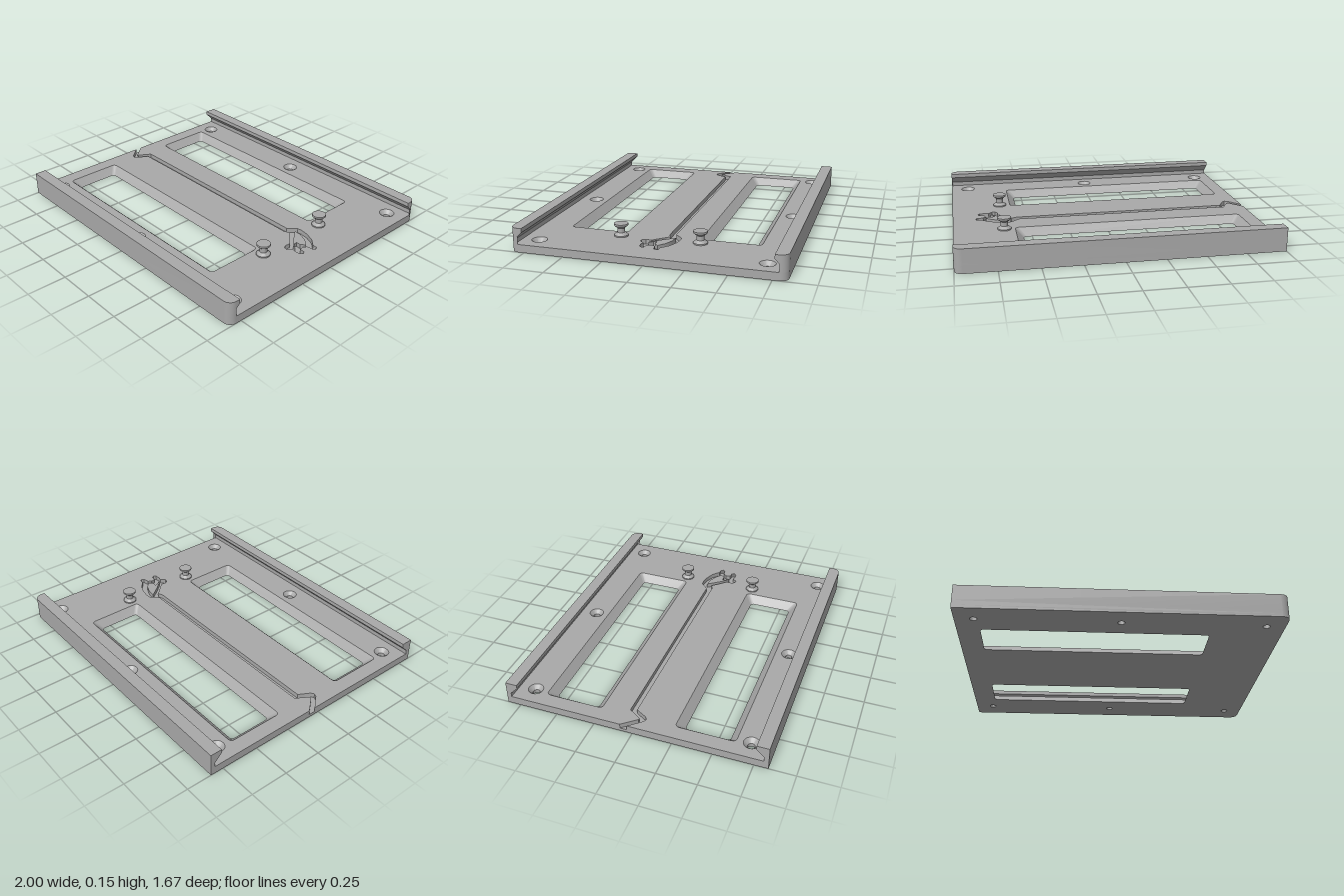
import * as THREE from 'three';
import { mergeGeometries, toCreasedNormals } from 'three/addons/utils/BufferGeometryUtils.js';

const D = 0.837, R = 0.05;          // half depth, corner radius
const TOP = 0.05, FLOOR = 0.02;     // plate top, groove floor
const V = (x, z) => new THREE.Vector2(x, z);

// Geometry from a list of triangles' corners
function fromTriangles(p) {
  const g = new THREE.BufferGeometry();
  g.setAttribute('position', new THREE.Float32BufferAttribute(p, 3));
  return g;
}

// Flat face at height y from an (x, z) loop with holes
function cap(loop, holes, y, up) {
  const shape = new THREE.Shape(loop);
  shape.holes = holes.map(h => new THREE.Path(h));
  const g = new THREE.ShapeGeometry(shape).toNonIndexed().rotateX(Math.PI / 2).translate(0, y, 0);
  const a = g.attributes.position, p = [];
  for (let i = 0; i < a.count; i += 3)
    for (const k of up ? [0, 2, 1] : [0, 1, 2]) p.push(a.getX(i + k), a.getY(i + k), a.getZ(i + k));
  return fromTriangles(p);
}

// Wall between two matching (x, z) loops, facing out of or into the loop
function wall(low, y0, high, y1, outward) {
  const p = [], flip = (THREE.ShapeUtils.area(low) > 0) !== outward;
  low.forEach((a, i) => {
    const j = (i + 1) % low.length, b = low[j];
    const q = [[a.x, y0, a.y], [high[i].x, y1, high[i].y], [high[j].x, y1, high[j].y], [b.x, y0, b.y]];
    for (const k of flip ? [0, 2, 1, 0, 3, 2] : [0, 1, 2, 0, 2, 3]) p.push(...q[k]);
  });
  return fromTriangles(p);
}

function circle(x, z, r, n = 32) {
  return Array.from({ length: n }, (_, i) => {
    const t = i / n * Math.PI * 2;
    return V(x + r * Math.cos(t), z + r * Math.sin(t));
  });
}

function roundedRect(x0, x1, z0, z1, r) {
  const out = [];
  [[x1 - r, z1 - r], [x0 + r, z1 - r], [x0 + r, z0 + r], [x1 - r, z0 + r]].forEach(([x, z], c) => {
    for (let i = 0; i <= 6; i++) {
      const t = (c + i / 6) * Math.PI / 2;
      out.push(V(x + r * Math.cos(t), z + r * Math.sin(t)));
    }
  });
  return out;
}

// Guide groove: lower edge, around the latch loop, back along the upper edge
const GROOVE = [[-1, -.035], [-.93, .045], [-.908, .055], [-.888, .042], [-.847, -.03], [.578, -.03],
  [.615, -.045], [.645, -.013], [.704, .048], [.7, .085], [.715, .106], [.735, .108], [.76, .078],
  [.785, .086], [.82, .082], [.833, .065], [.825, .05], [.79, .046], [.784, .015], [.8, -.008],
  [.842, -.014], [.852, -.03], [.843, -.045], [.813, -.046], [.765, -.088], [.705, -.112],
  [.65, -.121], [.618, -.118], [.567, -.068], [-.86, -.068], [-.91, .012], [-.925, .01], [-1, -.078]]
  .map(p => V(...p));
const ISLAND = [[.625, -.083], [.68, -.079], [.74, -.053], [.782, -.018], [.755, .008], [.722, .006],
  [.725, .028], [.75, .05], [.735, .052], [.685, -.005]].map(p => V(...p));

function plateGeometry() {
  const outline = [V(-1, -D)];
  for (let i = 0; i <= 8; i++) {
    const t = (i / 8 - 1) * Math.PI / 2;
    outline.push(V(1 - R + R * Math.cos(t), -D + R + R * Math.sin(t)));
  }
  for (let i = 0; i <= 8; i++) {
    const t = i / 8 * Math.PI / 2;
    outline.push(V(1 - R + R * Math.cos(t), D - R + R * Math.sin(t)));
  }
  outline.push(V(-1, D));
  const notched = [...outline, ...GROOVE];
  const parts = [], lowHoles = [], highHoles = [];

  // Windows with sloping sides
  for (const [z0, z1] of [[-.615, -.237], [.237, .615]]) {
    const high = roundedRect(-.905, .605, z0, z1, .025);
    const low = roundedRect(-.855, .555, z0 + .048, z1 - .048, .02);
    parts.push(wall(low, 0, high, TOP, false));
    lowHoles.push(low);
    highHoles.push(high);
  }
  // Countersunk screw holes
  for (const x of [-.883, 0, .883]) for (const z of [-.702, .702]) {
    const low = circle(x, z, .022), high = circle(x, z, .048);
    parts.push(wall(low, 0, low, .024, false), wall(low, .024, high, TOP, false));
    lowHoles.push(low);
    highHoles.push(high);
  }
  parts.push(
    cap(outline, lowHoles, 0, false),
    cap(notched, highHoles, TOP, true),
    cap(GROOVE, [ISLAND], FLOOR, true),
    cap(ISLAND, [], TOP, true),
    wall(outline, 0, outline, FLOOR, true),
    wall(notched, FLOOR, notched, TOP, true),
    wall(ISLAND, FLOOR, ISLAND, TOP, true));
  return toCreasedNormals(mergeGeometries(parts), 0.5);
}

// Hooked side rail swept along x, its outer face following the rounded corner
function railGeometry(side) {
  const stations = [-1];
  for (let i = 0; i <= 8; i++) stations.push(1 - R + R * Math.sin(i / 8 * Math.PI / 2));
  const rings = stations.map(x => {
    const dx = Math.max(0, x - 1 + R);
    const o = D - R + Math.sqrt(Math.max(0, R * R - dx * dx)), n = Math.min(.808, o);
    return [[o, TOP], [o, .152], [.76, .152], [.76, .126], [n, .126 - (n - .76)], [n, TOP]]
      .map(([z, y]) => [x, y, z * side]);
  });
  const p = [], tri = (a, b, c) => p.push(...a, ...(side > 0 ? b : c), ...(side > 0 ? c : b));
  for (let s = 0; s + 1 < rings.length; s++) {
    for (let i = 0; i < 6; i++) {
      const A = rings[s], B = rings[s + 1], j = (i + 1) % 6;
      tri(A[i], B[i], B[j]);
      tri(A[i], B[j], A[j]);
    }
  }
  const first = rings[0], last = rings[rings.length - 1];
  for (const [a, b, c] of [[0, 1, 4], [1, 2, 3], [1, 3, 4], [0, 4, 5]]) {
    tri(first[a], first[b], first[c]);
    tri(last[a], last[c], last[b]);
  }
  return toCreasedNormals(fromTriangles(p), 0.5);
}

export function createModel() {
  const group = new THREE.Group();
  const grey = new THREE.MeshStandardMaterial({ color: 0xa8a8a8 });
  grey.name = 'grey';
  const add = (name, geometry) => {
    const mesh = new THREE.Mesh(geometry, grey);
    mesh.name = name;
    group.add(mesh);
    return mesh;
  };

  add('basePlate', plateGeometry());
  add('frontRail', railGeometry(1));
  add('backRail', railGeometry(-1));

  // Spool-shaped spring pegs
  const profile = [[.044, TOP], [.044, .058], [.024, .074], [.024, .102], [.044, .118], [.044, .13], [0, .13]];
  const peg = toCreasedNormals(new THREE.LatheGeometry(profile.map(p => V(...p)), 32), 0.5);
  add('frontPeg', peg).position.set(.674, 0, .253);
  add('backPeg', peg).position.set(.674, 0, -.253);
  return group;
}
